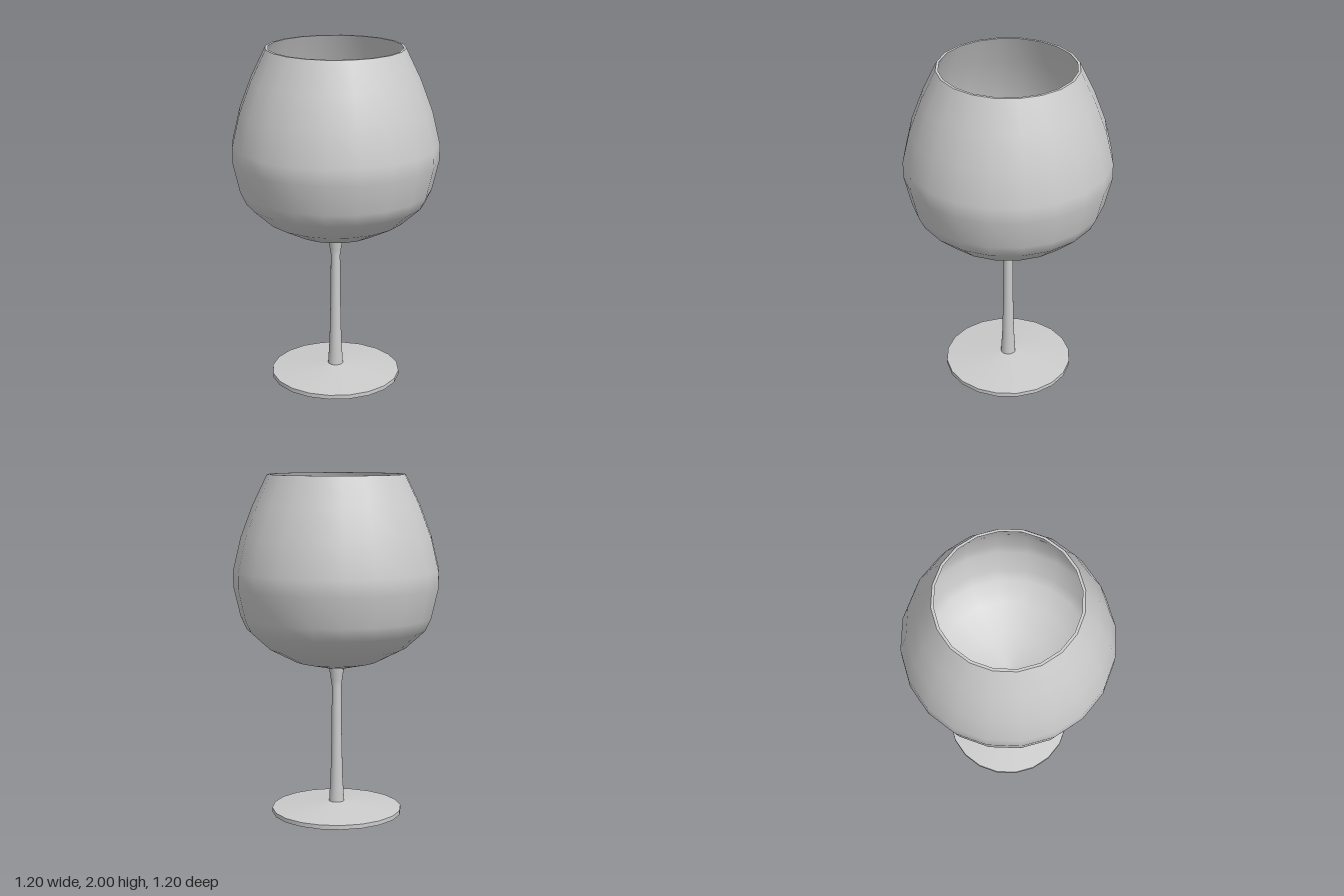
import * as THREE from 'three';

const SIDES = 20;
const material = new THREE.MeshStandardMaterial({ color: 0xcccccc });

// Revolve a profile; each profile is smooth, and edges stay sharp between profiles.
function turned(name, profile) {
  const points = profile.map(([r, y]) => new THREE.Vector2(r, y));
  const mesh = new THREE.Mesh(new THREE.LatheGeometry(points, SIDES), material);
  mesh.name = name;
  return mesh;
}

function part(name, ...meshes) {
  const group = new THREE.Group();
  group.name = name;
  group.add(...meshes);
  return group;
}

export function createModel() {
  const model = new THREE.Group();
  model.name = 'wineGlass';

  // Flat disc foot with a gently sloped top
  model.add(part('foot',
    turned('footUnderside', [[0, 0], [0.385, 0]]),
    turned('footEdge', [[0.385, 0], [0.385, 0.025]]),
    turned('footTop', [[0.385, 0.025], [0.045, 0.062]]),
  ));

  // Slender stem, flared at both ends
  model.add(turned('stem', [
    [0.045, 0.062], [0.036, 0.22], [0.03, 0.5], [0.028, 0.76], [0.034, 0.8], [0.044, 0.868],
  ]));

  // Hollow bowl: outer wall, flat rim, inner wall down to the centre
  model.add(part('bowl',
    turned('bowlOuter', [
      [0.044, 0.868], [0.25, 0.917], [0.41, 1.0], [0.525, 1.105], [0.56, 1.18],
      [0.6, 1.355], [0.6, 1.45], [0.555, 1.64], [0.485, 1.825], [0.4, 2],
    ]),
    turned('rim', [[0.4, 2], [0.385, 2]]),
    turned('bowlInner', [
      [0.385, 2], [0.465, 1.825], [0.53, 1.64], [0.572, 1.45], [0.572, 1.355],
      [0.535, 1.19], [0.5, 1.12], [0.395, 1.025], [0.24, 0.945], [0.04, 0.9], [0, 0.9],
    ]),
  ));

  return model;
}
